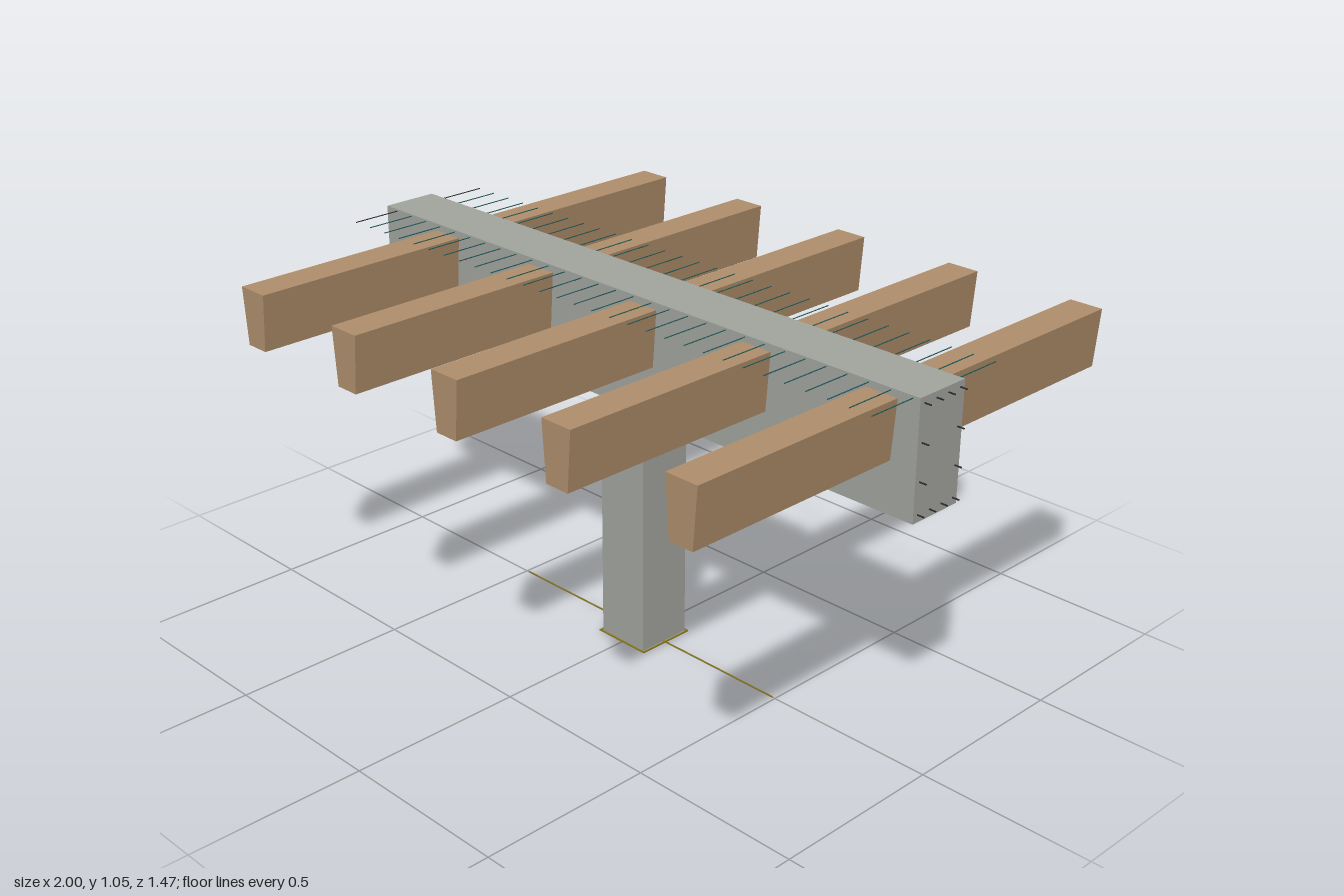
import * as THREE from 'three';

const material = (name, color, side = THREE.FrontSide) =>
  Object.assign(new THREE.MeshStandardMaterial({ color, side }), { name });

export function createModel() {
  const concrete = material('concrete', 0xa3a59f);
  const timber = material('timber', 0xb08f6c);
  const teal = material('tealSteel', 0x1f5c5c);
  const dark = material('darkSteel', 0x2a2a2a);
  const olive = material('oliveSteel', 0x8c7a1e);

  const model = new THREE.Group();
  model.name = 'columnAndBeamFrame';

  const add = (name, geometry, mat, x, y, z, parent = model) => {
    const mesh = new THREE.Mesh(geometry, mat);
    mesh.name = name;
    mesh.position.set(x, y, z);
    parent.add(mesh);
    return mesh;
  };
  const box = (name, w, h, d, mat, x, y, z, parent) =>
    add(name, new THREE.BoxGeometry(w, h, d), mat, x, y, z, parent);
  const group = (name) => {
    const g = new THREE.Group();
    g.name = name;
    model.add(g);
    return g;
  };

  // T-shaped concrete outline: column below, beam above
  const outline = new THREE.Shape([
    [-0.08, 0.002], [0.08, 0.002], [0.08, 0.725], [0.98, 0.725],
    [0.98, 1.046], [-0.98, 1.046], [-0.98, 0.725], [-0.08, 0.725],
  ].map(([x, y]) => new THREE.Vector2(x, y)));
  add('columnAndBeam',
    new THREE.ExtrudeGeometry(outline, { depth: 0.164, bevelEnabled: false }),
    concrete, 0, 0, -0.082);

  // Tapered joists, wider at the top, passing through the beam
  const section = new THREE.Shape([
    [-0.036, 0.865], [0.036, 0.865], [0.048, 1.026], [-0.048, 1.026],
  ].map(([x, y]) => new THREE.Vector2(x, y)));
  const joistGeometry = new THREE.ExtrudeGeometry(section, { depth: 1.474, bevelEnabled: false });
  const joists = group('joists');
  for (let i = 0; i < 5; i++) {
    add('joist', joistGeometry, timber, -0.705 + i * 0.393, 0, -0.737, joists);
  }

  // Cross bars sticking out on both faces near the beam top
  const crossGeometry = new THREE.CylinderGeometry(0.0015, 0.0015, 0.456, 6).rotateX(Math.PI / 2);
  const crossBars = group('crossBars');
  for (let i = 0; i < 30; i++) {
    add('crossBar', crossGeometry, i ? teal : dark, -0.935 + i * 0.0653, 1.04, 0, crossBars);
  }

  // Long bars whose tips show at both beam ends
  const longGeometry = new THREE.CylinderGeometry(0.002, 0.002, 2, 6).rotateZ(Math.PI / 2);
  const longBars = group('longBars');
  for (const y of [0.745, 0.83, 0.93, 1.03]) {
    const offsets = y > 0.8 && y < 1 ? [-0.066, 0.066] : [-0.066, -0.022, 0.022, 0.066];
    for (const z of offsets) add('longBar', longGeometry, dark, 0, y, z, longBars);
  }

  // Thin tie around the column foot, and a bar along the ground
  const foot = group('footTie');
  for (const s of [-1, 1]) {
    box('footTieSide', 0.178, 0.004, 0.004, olive, 0, 0.003, s * 0.086, foot);
    box('footTieEnd', 0.004, 0.004, 0.174, olive, s * 0.087, 0.003, 0, foot);
  }
  box('groundBar', 0.98, 0.003, 0.003, olive, 0, 0.0015, 0);

  return model;
}
